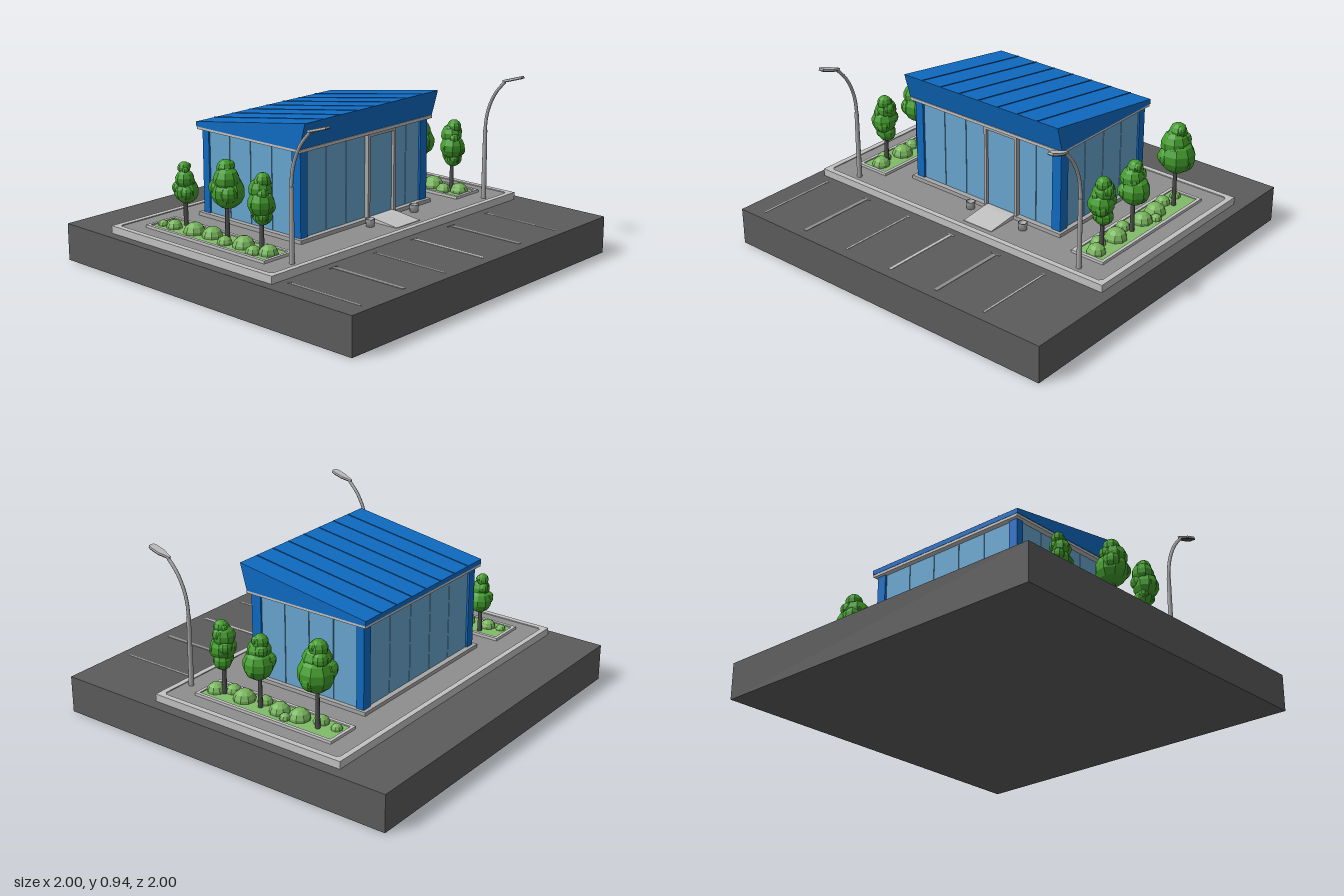
import * as THREE from 'three';

const mat = (name, color) => Object.assign(new THREE.MeshStandardMaterial({ color }), { name });

export function createModel() {
  const M = {
    asphalt: mat('asphalt', 0x5c5c5c), curb: mat('pale concrete', 0xc2c2c2),
    paving: mat('paving', 0x8e8e8e), grass: mat('grass', 0x80bb68),
    bush: mat('bush green', 0x78b55c), leaf: mat('leaf green', 0x429c2c),
    dark: mat('dark grey', 0x505050), blue: mat('blue paint', 0x0f6cc4),
    glass: mat('blue glass', 0x68a6d0), metal: mat('grey metal', 0xa8a8a8),
  };
  M.bush.flatShading = M.leaf.flatShading = true;
  const model = new THREE.Group();
  model.name = 'shopOnLot';

  const add = (parent, name, geo, material, x = 0, y = 0, z = 0) => {
    const m = new THREE.Mesh(geo, material);
    m.name = name;
    m.position.set(x, y, z);
    parent.add(m);
    return m;
  };
  const group = (name, parent = model) => {
    const g = new THREE.Group();
    g.name = name;
    parent.add(g);
    return g;
  };
  // box given by its limits on each axis
  const box = (parent, name, material, x0, x1, y0, y1, z0, z1) =>
    add(parent, name, new THREE.BoxGeometry(x1 - x0, y1 - y0, z1 - z0), material,
      (x0 + x1) / 2, (y0 + y1) / 2, (z0 + z1) / 2);
  // flat rectangular frame with cut inner corners
  const frame = (parent, name, material, x0, x1, y0, y1, z0, z1, w, cut = 0) => {
    const s = new THREE.Shape([[x0, -z1], [x1, -z1], [x1, -z0], [x0, -z0]].map(p => new THREE.Vector2(...p)));
    const a = x0 + w, b = x1 - w, c = -z1 + w, d = -z0 - w;
    const pts = cut
      ? [[a + cut, c], [a, c + cut], [a, d - cut], [a + cut, d], [b - cut, d], [b, d - cut], [b, c + cut], [b - cut, c]]
      : [[a, c], [a, d], [b, d], [b, c]];
    s.holes.push(new THREE.Path(pts.map(p => new THREE.Vector2(...p))));
    const g = new THREE.ExtrudeGeometry(s, { depth: y1 - y0, bevelEnabled: false }).rotateX(-Math.PI / 2);
    return add(parent, name, g, material, 0, y0, 0);
  };
  // side profile in (z, y), extruded between two x values
  const profile = (parent, name, material, pts, x0, x1) => {
    const s = new THREE.Shape(pts.map(p => new THREE.Vector2(...p)));
    const g = new THREE.ExtrudeGeometry(s, { depth: x1 - x0, bevelEnabled: false }).rotateY(-Math.PI / 2);
    return add(parent, name, g, material, x1, 0, 0);
  };

  // ground and pavement
  box(model, 'ground', M.asphalt, -1, 1, 0, 0.2, -1, 1);
  frame(model, 'curb', M.curb, -0.95, 0.94, 0.2, 0.24, -0.7, 0.455, 0.03, 0.015);
  box(model, 'pavement', M.paving, -0.925, 0.915, 0.2, 0.235, -0.675, 0.43);

  // parking bay markings
  const bays = group('parkingLines');
  [[-0.88, 0.008], [-0.58, 0.02], [-0.28, 0.008], [0.02, 0.015], [0.32, 0.02], [0.625, 0.008]].forEach(([x, w]) => {
    const m = w === 0.02 ? M.paving : M.curb;
    box(bays, 'parkingLine', m, x - w / 2, x + w / 2, 0.2, 0.202, 0.5, 0.945);
    box(bays, 'parkingLineEnd', m, x - w * 1.4, x + w * 1.4, 0.2, 0.2025, 0.5, 0.506);
  });

  // shop walls: a core faced with separate glass panes
  const shop = group('shop');
  box(shop, 'floorSlab', M.metal, -0.51, 0.5, 0.235, 0.255, -0.52, 0.22);
  box(shop, 'glassCore', M.glass, -0.47, 0.465, 0.255, 0.7, -0.48, 0.18);
  const panes = (n, a, b, make) => {
    for (let i = 0; i < n; i++) {
      const step = (b - a) / n;
      make(a + i * step + 0.002, a + (i + 1) * step - 0.002);
    }
  };
  panes(3, -0.44, 0, (a, b) => box(shop, 'frontPane', M.glass, a, b, 0.255, 0.7, 0.175, 0.19));
  panes(2, 0.21, 0.43, (a, b) => box(shop, 'frontPane', M.glass, a, b, 0.255, 0.7, 0.175, 0.19));
  panes(5, -0.44, 0.43, (a, b) => box(shop, 'backPane', M.glass, a, b, 0.255, 0.7, -0.49, -0.475));
  panes(4, -0.46, 0.145, (a, b) => {
    box(shop, 'leftPane', M.glass, 0.46, 0.475, 0.255, 0.7, a, b);
    box(shop, 'rightPane', M.glass, -0.48, -0.465, 0.255, 0.7, a, b);
  });
  for (const [x0, x1] of [[-0.49, -0.44], [0.43, 0.485]])
    for (const [z0, z1] of [[-0.5, -0.455], [0.142, 0.2]])
      box(shop, 'cornerPost', M.blue, x0, x1, 0.255, 0.7, z0, z1);
  box(shop, 'topTrim', M.curb, -0.51, 0.5, 0.7, 0.716, -0.52, 0.22);

  // door, its frame and the ramp
  const door = group('door', shop);
  box(door, 'doorGlass', M.glass, 0.008, 0.2, 0.255, 0.685, 0.18, 0.2);
  box(door, 'doorJamb', M.metal, -0.004, 0.012, 0.255, 0.7, 0.18, 0.215);
  box(door, 'doorJamb', M.metal, 0.196, 0.212, 0.255, 0.7, 0.18, 0.215);
  box(door, 'doorHead', M.metal, -0.004, 0.212, 0.685, 0.7, 0.18, 0.215);
  profile(shop, 'ramp', M.curb, [[0.21, 0.23], [0.395, 0.23], [0.395, 0.238], [0.24, 0.256], [0.21, 0.256]], 0.012, 0.197);

  // sloping roof with standing seams
  profile(shop, 'roof', M.blue, [[0.215, 0.714], [0.255, 0.855], [-0.522, 0.74], [-0.522, 0.714]], -0.513, 0.503);
  for (let i = 1; i < 8; i++) {
    const seam = add(shop, 'roofSeam', new THREE.BoxGeometry(0.005, 0.006, 0.78), M.blue, -0.513 + i * 0.127, 0.798, -0.1335);
    seam.rotation.x = -Math.atan2(0.115, 0.777);
  }

  // pots beside the door
  const potProfile = [[0, 0], [0.022, 0], [0.026, 0.04], [0.02, 0.04], [0.018, 0.025], [0, 0.025]];
  for (const x of [-0.05, 0.3])
    add(model, 'pot', new THREE.LatheGeometry(potProfile.map(p => new THREE.Vector2(...p)), 10), M.metal, x, 0.235, 0.27);

  // planting beds: trees are [x, z, lobes of (y, radius)], bushes [x, z, radius]
  const ball = r => new THREE.SphereGeometry(r, 9, 7);
  const tall = [[0.535, 0.095], [0.6, 0.075], [0.665, 0.048]];
  const round = [[0.48, 0.08], [0.545, 0.062], [0.598, 0.042]];
  const slim = [[0.43, 0.05], [0.495, 0.068], [0.56, 0.058], [0.605, 0.04]];
  const small = [[0.425, 0.065], [0.49, 0.05], [0.545, 0.033]];
  const bed = (name, x0, x1, trees, bushes) => {
    const g = group(name);
    frame(g, 'bedEdge', M.curb, x0, x1, 0.23, 0.25, -0.56, 0.295, 0.018);
    box(g, 'grass', M.grass, x0 + 0.015, x1 - 0.015, 0.23, 0.244, -0.545, 0.28);
    for (const [x, z, lobes] of trees) {
      const t = group('tree', g);
      t.position.set(x, 0, z);
      add(t, 'trunk', new THREE.CylinderGeometry(0.009, 0.013, 0.24, 8), M.dark, 0, 0.355, 0);
      lobes.forEach(([y, r], i) => {
        const lobe = add(t, 'foliage', ball(r), M.leaf, 0.008 * Math.cos(i * 2.4), y, 0.008 * Math.sin(i * 2.4));
        lobe.rotation.y = i * 0.7;
        // side tufts
        for (let k = 0; k < 3; k++) {
          const a = k * 2.1 + i * 1.1;
          add(t, 'tuft', ball(r * 0.55), M.leaf, Math.cos(a) * r * 0.52, y + r * 0.25 * (k - 1), Math.sin(a) * r * 0.52);
        }
      });
    }
    for (const [x, z, r] of bushes)
      add(g, 'bush', ball(r), M.bush, x, 0.246, z).scale.y = 0.95;
  };
  bed('rightBed', -0.84, -0.64,
    [[-0.69, -0.42, small], [-0.735, -0.065, round.map(([y, r]) => [y + 0.02, r * 1.08])], [-0.74, 0.18, slim]],
    [[-0.77, -0.505, 0.027], [-0.76, -0.43, 0.042], [-0.75, -0.29, 0.057], [-0.7, -0.235, 0.028], [-0.735, -0.175, 0.055],
      [-0.77, -0.05, 0.04], [-0.74, 0.055, 0.058], [-0.78, 0.16, 0.04], [-0.74, 0.225, 0.05]]);
  bed('leftBed', 0.63, 0.825,
    [[0.745, -0.42, tall], [0.74, -0.06, round], [0.73, 0.18, slim]],
    [[0.7, -0.5, 0.03], [0.69, -0.4, 0.042], [0.72, -0.29, 0.058], [0.765, -0.235, 0.03], [0.725, -0.17, 0.055],
      [0.69, -0.05, 0.04], [0.725, 0.055, 0.06], [0.69, 0.155, 0.042], [0.735, 0.23, 0.05]]);

  // street lamps with bent arms and flat leaf-shaped heads
  const arm = new THREE.CatmullRomCurve3([[0.6, 0.385], [0.68, 0.392], [0.75, 0.41], [0.83, 0.45], [0.9, 0.51]]
    .map(([y, z]) => new THREE.Vector3(0, y, z)));
  const headShape = new THREE.Shape([[-0.006, 0], [0.006, 0], [0.013, -0.03], [0.022, -0.055], [0.022, -0.11], [0.015, -0.13],
    [-0.015, -0.13], [-0.022, -0.11], [-0.022, -0.055], [-0.013, -0.03]].reverse().map(p => new THREE.Vector2(...p)));
  const headPlate = depth => new THREE.ExtrudeGeometry(headShape, { depth, bevelEnabled: false }).rotateX(-Math.PI / 2);
  for (const x of [-0.745, 0.75]) {
    const lamp = group('streetLamp');
    lamp.position.x = x;
    add(lamp, 'pole', new THREE.CylinderGeometry(0.011, 0.014, 0.38, 10), M.metal, 0, 0.425, 0.387);
    add(lamp, 'arm', new THREE.TubeGeometry(arm, 14, 0.009, 8), M.metal);
    const head = group('lampHead', lamp);
    head.position.set(0, 0.898, 0.497);
    head.rotation.x = -0.3;
    add(head, 'lampCover', headPlate(0.008), M.curb);
    add(head, 'lampLens', headPlate(0.006), M.dark, 0, -0.006, 0);
  }
  return model;
}
